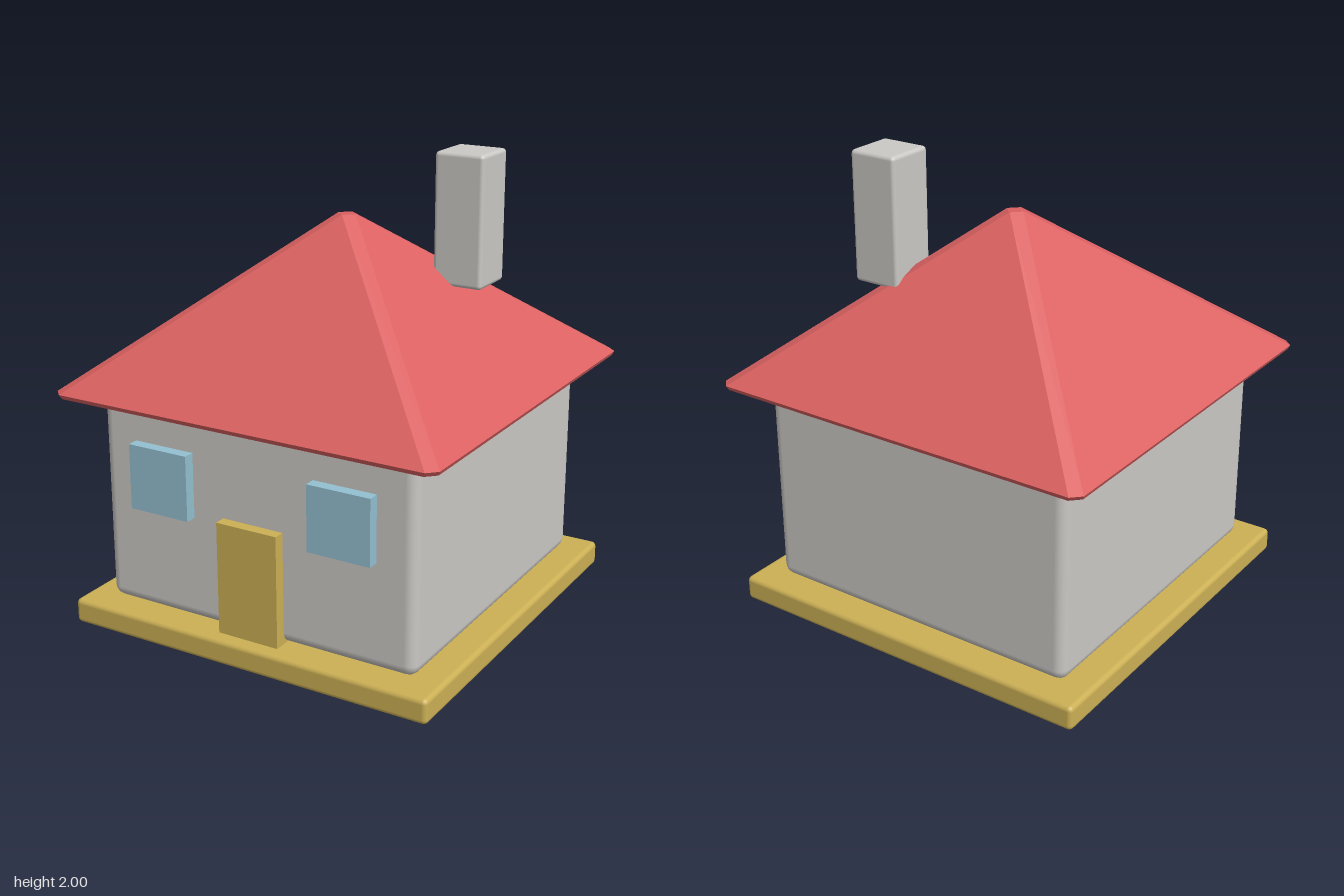
import * as THREE from 'three';
import { RoundedBoxGeometry } from 'three/addons/geometries/RoundedBoxGeometry.js';

const mat = (name, color) => Object.assign(new THREE.MeshStandardMaterial({ color }), { name });

// Square outline with cut corners: half-width h, corner cut c, at height y
function ring(h, c, y) {
  const k = h - c;
  return [[h, k], [k, h], [-k, h], [-h, k], [-h, -k], [-k, -h], [k, -h], [h, -k]]
    .map(([x, z]) => new THREE.Vector3(x, y, z));
}

// Faceted solid through a stack of rings (bottom to top), capped at both ends
function loft(rings) {
  const pos = [];
  const tri = (...pts) => pts.forEach(p => pos.push(p.x, p.y, p.z));
  const n = rings[0].length;
  for (let r = 0; r < rings.length - 1; r++) {
    for (let i = 0; i < n; i++) {
      const j = (i + 1) % n;
      const a = rings[r][i], b = rings[r][j], c = rings[r + 1][j], d = rings[r + 1][i];
      tri(a, d, c);
      tri(a, c, b);
    }
  }
  const low = rings[0], top = rings[rings.length - 1];
  for (let i = 1; i < n - 1; i++) {
    tri(low[0], low[i], low[i + 1]);
    tri(top[0], top[i + 1], top[i]);
  }
  const g = new THREE.BufferGeometry();
  g.setAttribute('position', new THREE.Float32BufferAttribute(pos, 3));
  g.computeVertexNormals();
  return g;
}

export function createModel() {
  const house = new THREE.Group();
  house.name = 'house';
  const stone = mat('stone grey', 0xcbc9c5);
  const roofRed = mat('roof red', 0xdb6161);
  const ochre = mat('ochre', 0xccb055);
  const glass = mat('window blue', 0x93c0d0);

  const add = (name, geometry, material, x = 0, y = 0, z = 0) => {
    const m = new THREE.Mesh(geometry, material);
    m.name = name;
    m.position.set(x, y, z);
    house.add(m);
  };

  // Base slab, walls and chimney with softened edges
  add('baseSlab', new RoundedBoxGeometry(1.706, 0.11, 1.706, 2, 0.022), ochre, 0, 0.06, 0);
  add('walls', new RoundedBoxGeometry(1.484, 0.92, 1.484, 2, 0.05), stone, 0, 0.575, 0);
  add('chimney', new RoundedBoxGeometry(0.224, 0.565, 0.224, 2, 0.018), stone, 0.427, 1.7175, -0.285);

  // Hipped roof with a thin eave and bevelled ridges
  add('roof', loft([
    ring(0.878, 0.04, 1.033),
    ring(0.887, 0.04, 1.052),
    ring(0.042, 0.041, 1.738),
  ]), roofRed);

  // Door and windows stand proud of the front wall
  add('door', new THREE.BoxGeometry(0.284, 0.495, 0.08), ochre, 0, 0.358, 0.752);
  for (const [side, name] of [[1, 'leftWindow'], [-1, 'rightWindow']]) {
    add(name, new THREE.BoxGeometry(0.284, 0.284, 0.08), glass, side * 0.428, 0.718, 0.752);
  }
  return house;
}
